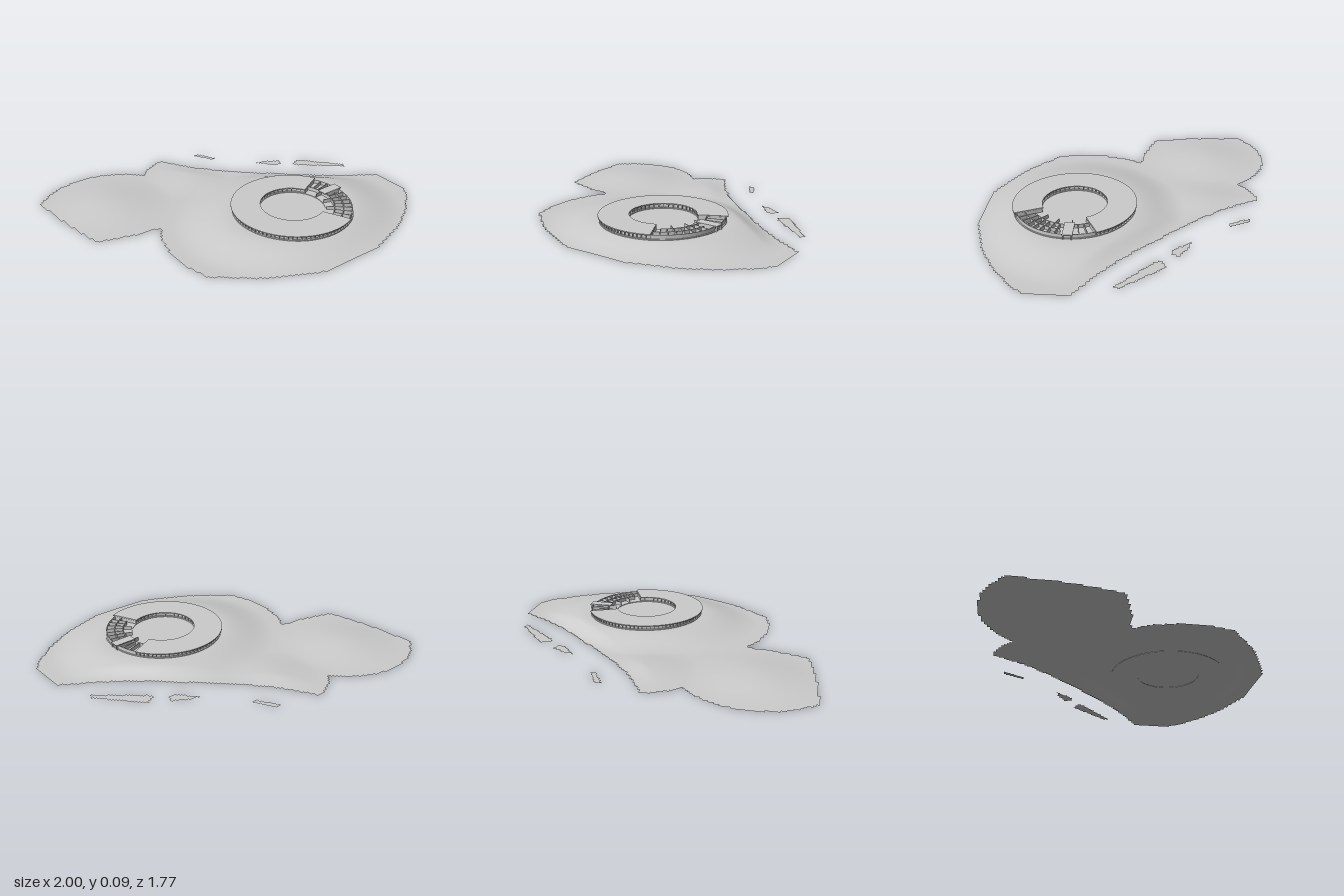
import * as THREE from 'three';

const CX = 0.18, CZ = 0.31;            // centre of the ring building
const GROUND = 0.054, ROOF = 0.087;    // plateau height and roof top
const RAD = Math.PI / 180;
const OPEN_A = -27 * RAD, OPEN_B = 65 * RAD; // sector without a roof (angle from +x towards +z)

const grey = new THREE.MeshStandardMaterial({ color: 0xcccccc });
const greyTwoSided = new THREE.MeshStandardMaterial({ color: 0xcccccc, side: THREE.DoubleSide });

// Coast of the main island and of the three islets, as [x, z]
const coast = [
  [-1, -0.74], [-0.92, -0.81], [-0.8, -0.87], [-0.7, -0.89], [-0.59, -0.89], [-0.48, -0.86], [-0.38, -0.8],
  [-0.32, -0.75], [-0.28, -0.7], [-0.2, -0.77], [-0.12, -0.81], [-0.07, -0.81], [0, -0.69], [0.08, -0.57],
  [0.2, -0.43], [0.4, -0.24], [0.63, -0.03], [0.8, 0.1], [1, 0.23], [1, 0.48], [0.93, 0.56], [0.8, 0.67],
  [0.6, 0.79], [0.32, 0.88], [-0.04, 0.88], [-0.2, 0.81], [-0.4, 0.7], [-0.6, 0.53], [-0.635, 0.4],
  [-0.635, 0.2], [-0.6, 0.06], [-0.54, -0.05], [-0.7, -0.07], [-0.8, -0.1], [-0.92, -0.14], [-0.95, -0.28], [-0.98, -0.5]];
const islets = [
  [[0.165, -0.745], [0.2, -0.745], [0.26, -0.63], [0.235, -0.62]],
  [[0.45, -0.395], [0.5, -0.39], [0.6, -0.33], [0.58, -0.29], [0.54, -0.29]],
  [[0.65, -0.23], [0.71, -0.265], [0.75, -0.22], [0.92, -0.02], [0.91, 0.01], [0.8, -0.08], [0.66, -0.2]]];
const northEastShore = coast.slice(11, 19);

const smooth = THREE.MathUtils.smoothstep;

function inside(poly, x, z) {
  let hit = false;
  for (let i = 0, j = poly.length - 1; i < poly.length; j = i++) {
    const [ax, az] = poly[i], [bx, bz] = poly[j];
    if ((az > z) !== (bz > z) && x < (bx - ax) * (z - az) / (bz - az) + ax) hit = !hit;
  }
  return hit;
}

function shoreDistance(x, z) {
  let best = Infinity;
  for (let i = 1; i < northEastShore.length; i++) {
    const [ax, az] = northEastShore[i - 1], [bx, bz] = northEastShore[i];
    const dx = bx - ax, dz = bz - az;
    const t = THREE.MathUtils.clamp(((x - ax) * dx + (z - az) * dz) / (dx * dx + dz * dz), 0, 1);
    best = Math.min(best, Math.hypot(x - ax - t * dx, z - az - t * dz));
  }
  return best;
}

// A plateau and two low hills that sink to the waterline
function landHeight(x, z) {
  const dx = x - CX, dz = (z - CZ) * (z > CZ ? 1.25 : 1.12);
  const plateau = GROUND * (1 - smooth(Math.hypot(dx, dz), 0.4, 0.75));
  const west = 0.03 * (1 - smooth(Math.hypot((x + 0.65) / 0.4, (z + 0.48) / 0.42), 0, 1));
  const north = 0.018 * (1 - smooth(Math.hypot((x + 0.03) / 0.3, (z + 0.5) / 0.32), 0, 1));
  return (plateau + west + north) * smooth(shoreDistance(x, z), -0.03, 0.13);
}

// Grid surface keeping only the cells inside an outline
function gridLand(poly, height, cell) {
  const n = Math.round(2 / cell), pos = [], index = [], ids = new Map();
  const vertex = (i, j) => {
    const key = i * (n + 1) + j;
    if (!ids.has(key)) {
      const x = -1 + i * cell, z = -1 + j * cell;
      ids.set(key, pos.length / 3);
      pos.push(x, height(x, z), z);
    }
    return ids.get(key);
  };
  for (let i = 0; i < n; i++) for (let j = 0; j < n; j++) {
    if (!inside(poly, -1 + (i + 0.5) * cell, -1 + (j + 0.5) * cell)) continue;
    const a = vertex(i, j), b = vertex(i, j + 1), c = vertex(i + 1, j + 1), d = vertex(i + 1, j);
    index.push(a, b, c, a, c, d);
  }
  const geo = new THREE.BufferGeometry();
  geo.setAttribute('position', new THREE.Float32BufferAttribute(pos, 3));
  geo.setIndex(index);
  geo.computeVertexNormals();
  return geo;
}

// Curved slab or wall between two radii and two angles, hanging down from its top
function arcBlock(name, r0, r1, a0, a1, top, depth) {
  const shape = new THREE.Shape();
  shape.absarc(0, 0, r1, a0, a1, false);
  shape.absarc(0, 0, r0, a1, a0, true);
  const geo = new THREE.ExtrudeGeometry(shape, { depth, bevelEnabled: false, curveSegments: 72 });
  geo.rotateX(Math.PI / 2);
  const mesh = new THREE.Mesh(geo, grey);
  mesh.position.y = top;
  mesh.name = name;
  return mesh;
}

// Box lying along a radius
function radialBox(name, r0, r1, angle, width, y0, y1) {
  const mesh = new THREE.Mesh(new THREE.BoxGeometry(r1 - r0, y1 - y0, width), grey);
  const r = (r0 + r1) / 2;
  mesh.position.set(r * Math.cos(angle), (y0 + y1) / 2, r * Math.sin(angle));
  mesh.rotation.y = -angle;
  mesh.name = name;
  return mesh;
}

function createBuilding() {
  const g = new THREE.Group();
  g.name = 'ringBuilding';
  g.position.set(CX, 0, CZ);
  const end = OPEN_A + 2 * Math.PI, floor = GROUND + 0.004, ceiling = ROOF - 0.006;

  // Floor ring all round, roof over the closed sector
  g.add(arcBlock('floorRing', 0.2, 0.37, 0, Math.PI, floor, 0.006));
  g.add(arcBlock('floorRing', 0.2, 0.37, Math.PI, 2 * Math.PI, floor, 0.006));
  g.add(arcBlock('roof', 0.197, 0.377, OPEN_B, end, ROOF, ROOF - ceiling));

  // Set-back facades
  g.add(arcBlock('outerFacade', 0.354, 0.358, OPEN_B, end, ceiling, ceiling - floor));
  g.add(arcBlock('innerFacade', 0.212, 0.216, OPEN_B, end, ceiling, ceiling - floor));

  // Columns along both edges
  for (let i = 0; i <= 66; i++) {
    const a = OPEN_B + (end - OPEN_B) * i / 66;
    g.add(radialBox('outerColumn', 0.358, 0.367, a, 0.004, floor, ceiling));
    if (i % 2 === 0) g.add(radialBox('innerColumn', 0.203, 0.212, a, 0.004, floor, ceiling));
  }

  // Rooms of the open sector
  for (let i = 0; i <= 12; i++) {
    const a = OPEN_A + (OPEN_B - OPEN_A) * i / 12;
    g.add(radialBox('partition', i % 3 ? 0.255 : 0.205, 0.362, a, 0.004, floor, ceiling));
  }
  g.add(arcBlock('corridorWall', 0.253, 0.257, OPEN_A, OPEN_B - 8 * RAD, ceiling, ceiling - floor));
  g.add(arcBlock('roomWall', 0.308, 0.311, 8 * RAD, OPEN_B, ceiling, ceiling - floor));
  g.add(arcBlock('openFacade', 0.36, 0.363, OPEN_A, OPEN_B, ceiling, ceiling - floor));

  // Entrance porch
  g.add(radialBox('entranceRoof', 0.24, 0.38, -1 * RAD, 0.06, ceiling, ROOF));
  for (const s of [-1, 1]) {
    const post = radialBox('entrancePost', 0.367, 0.377, 0, 0.006, GROUND, ceiling);
    post.position.z = s * 0.024 - 0.006;
    g.add(post);
  }
  return g;
}

export function createModel() {
  const model = new THREE.Group();
  model.name = 'islandWithRingBuilding';

  const land = new THREE.Mesh(gridLand(coast, landHeight, 1 / 64), greyTwoSided);
  land.name = 'mainIsland';
  model.add(land);

  for (const outline of islets) {
    const islet = new THREE.Mesh(gridLand(outline, () => 0.001, 1 / 80), greyTwoSided);
    islet.name = 'islet';
    model.add(islet);
  }

  model.add(createBuilding());
  return model;
}
